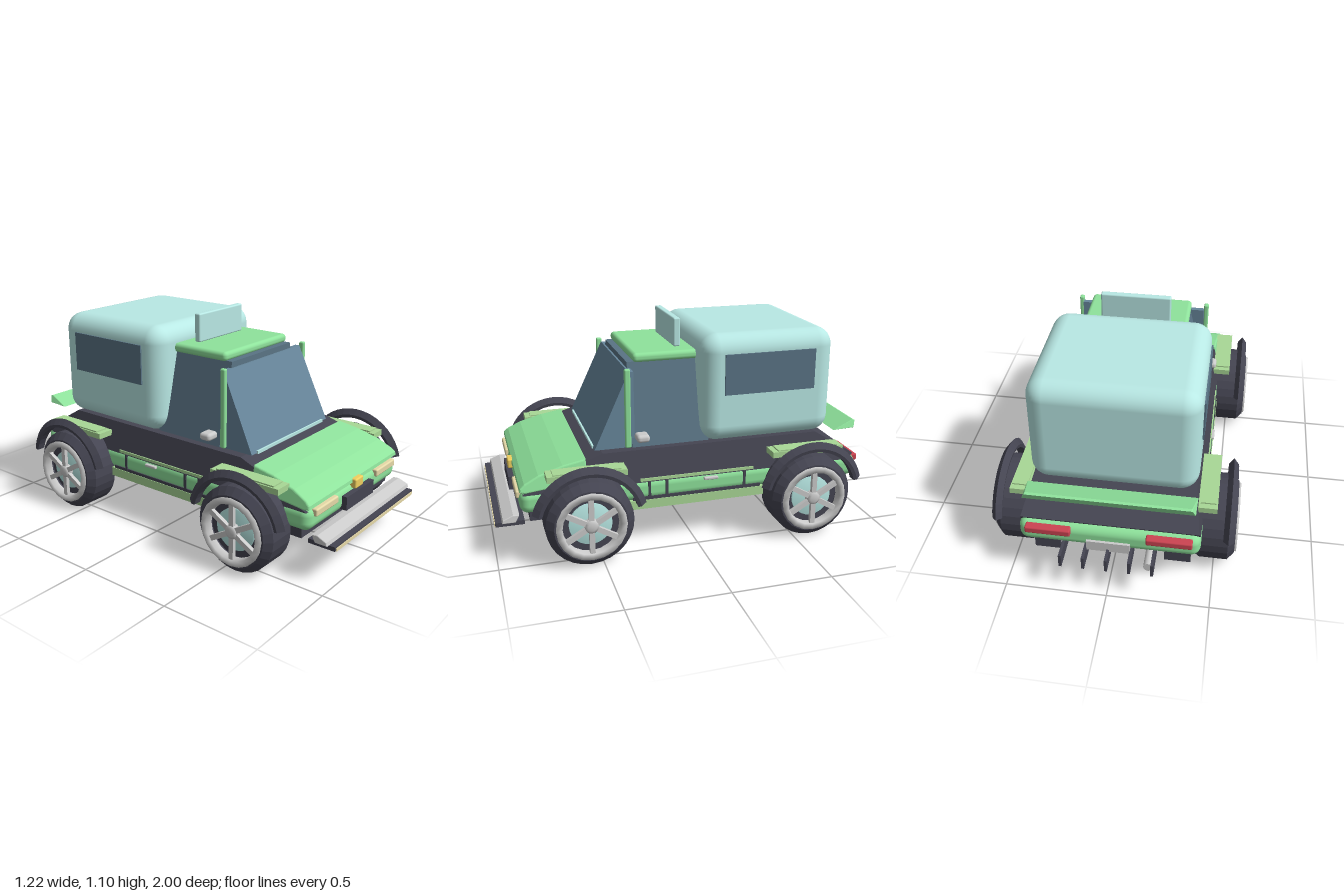
import * as THREE from 'three';
import { RoundedBoxGeometry } from 'three/addons/geometries/RoundedBoxGeometry.js';

const mat = (color, flatShading = false) => new THREE.MeshStandardMaterial({ color, flatShading });
const M = {
  dark: mat(0x454552, true), green: mat(0x8fe39c), pale: mat(0xa9d896, true), aqua: mat(0xb9e9e5),
  glass: mat(0x67869b, true), side: mat(0x5a7485, true), chrome: mat(0xcccccc), red: mat(0xcc4452),
  cream: mat(0xe6d9a8), yellow: mat(0xf0d060),
};

export function createModel() {
  const car = new THREE.Group();
  car.name = 'camperTruck';

  const add = (name, geo, material, parent = car) => {
    const mesh = new THREE.Mesh(geo, material);
    mesh.name = name;
    parent.add(mesh);
    return mesh;
  };
  // Box given by its min and max on each axis; r rounds the edges
  const box = (name, material, [x0, x1], [y0, y1], [z0, z1], r = 0) => {
    const s = [x1 - x0, y1 - y0, z1 - z0];
    const geo = r ? new RoundedBoxGeometry(...s, 4, r) : new THREE.BoxGeometry(...s);
    geo.translate((x0 + x1) / 2, (y0 + y1) / 2, (z0 + z1) / 2);
    return add(name, geo, material);
  };
  // The same box on both sides of the car
  const pair = (name, material, [x0, x1], y, z, r) => {
    box(name + 'Left', material, [x0, x1], y, z, r);
    box(name + 'Right', material, [-x1, -x0], y, z, r);
  };
  // Side profile of [z, y] points extruded across the car; half width runs from w0 at y0 to w1 at y1
  const prism = (name, material, pts, [y0, w0], [y1, w1], bevel = 0) => {
    const shape = new THREE.Shape(pts.map(([z, y]) => new THREE.Vector2(z, y)));
    const geo = new THREE.ExtrudeGeometry(shape, {
      depth: 2 - 2 * bevel / w0, bevelEnabled: bevel > 0, bevelSize: bevel, bevelOffset: -bevel,
      bevelThickness: bevel / w0, bevelSegments: 3,
    });
    geo.translate(0, 0, -1 + bevel / w0).rotateY(-Math.PI / 2);
    const p = geo.attributes.position;
    for (let i = 0; i < p.count; i++) {
      const t = (p.getY(i) - y0) / (y1 - y0);
      p.setX(i, p.getX(i) * (w0 + (w1 - w0) * t));
    }
    geo.computeVertexNormals();
    return add(name, geo, material);
  };

  // Lower body
  box('floor', M.dark, [-0.42, 0.42], [0.2, 0.36], [-0.85, 0.83]);
  box('bodyBand', M.green, [-0.437, 0.437], [0.237, 0.358], [-0.915, 0.875], 0.045);
  prism('upperBody', M.dark,
    [[0.86, 0.34], [0.55, 0.47], [0.46, 0.5], [-0.68, 0.5], [-0.89, 0.37], [-0.87, 0.34]],
    [0.34, 0.435], [0.5, 0.395]);
  pair('rocker', M.pale, [0.41, 0.442], [0.2, 0.247], [-0.4, 0.36]);
  pair('beltTrim', M.pale, [0.41, 0.436], [0.345, 0.36], [-0.32, 0.28]);
  pair('lowerGap', M.dark, [0.41, 0.439], [0.247, 0.263], [-0.36, 0.32]);
  for (const z of [0.235, 0.145, -0.27])
    pair('doorSeam', M.dark, [0.42, 0.441], [0.25, 0.345], [z - 0.007, z + 0.007]);
  pair('doorHandle', M.chrome, [0.43, 0.45], [0.318, 0.333], [-0.125, -0.05], 0.005);

  // Hood
  prism('hood', M.green,
    [[0.545, 0.485], [0.545, 0.38], [0.85, 0.35], [0.875, 0.358], [0.872, 0.375], [0.85, 0.395], [0.78, 0.43], [0.66, 0.465]],
    [0.35, 0.437], [0.485, 0.405], 0.008);

  // Cabin, windscreen and roof
  prism('cabin', M.side, [[0.3, 0.5], [0.3, 0.915], [-0.1, 0.915], [-0.1, 0.5]], [0.5, 0.355], [0.915, 0.255]);
  prism('windscreen', M.glass, [[0.49, 0.5], [0.31, 0.885], [0.285, 0.885], [0.285, 0.5]], [0.5, 0.345], [0.885, 0.335]);
  box('cowl', M.aqua, [-0.3, 0.3], [0.495, 0.51], [0.47, 0.495]);
  pair('pillar', M.green, [0.335, 0.36], [0.5, 0.905], [0.305, 0.335], 0.008);
  box('roof', M.green, [-0.27, 0.27], [0.91, 0.957], [-0.1, 0.27], 0.02);
  box('roofSign', M.aqua, [-0.18, 0.18], [0.957, 1.105], [0, 0.035], 0.008);
  pair('mirror', M.chrome, [0.35, 0.425], [0.543, 0.582], [0.225, 0.29], 0.016);

  // Camper shell
  box('camper', M.aqua, [-0.405, 0.405], [0.49, 1.05], [-0.767, -0.055], 0.09);
  pair('camperWindow', M.side, [0.39, 0.413], [0.747, 0.955], [-0.65, -0.165]);

  // Front details
  pair('headlight', M.cream, [0.192, 0.39], [0.312, 0.35], [0.85, 0.89], 0.008);
  box('frontPlate', M.dark, [-0.135, 0.135], [0.252, 0.322], [0.86, 0.902]);
  box('plateTrim', M.chrome, [-0.11, 0.11], [0.24, 0.252], [0.86, 0.89]);
  box('badge', M.yellow, [-0.038, 0.038], [0.328, 0.378], [0.85, 0.895], 0.008);
  prism('frontBumper', M.chrome,
    [[0.965, 0.2], [0.96, 0.217], [0.91, 0.238], [0.88, 0.235], [0.9, 0.2]], [0.2, 0.42], [0.24, 0.415], 0.004);
  box('splitter', M.dark, [-0.4, 0.4], [0.178, 0.2], [0.855, 0.996]);
  box('splitterEdge', M.cream, [-0.39, 0.39], [0.176, 0.192], [0.99, 1]);

  // Rear details
  pair('tailLight', M.red, [0.18, 0.4], [0.312, 0.348], [-0.936, -0.89], 0.008);
  box('rearPlate', M.chrome, [-0.105, 0.105], [0.235, 0.29], [-0.928, -0.9]);
  prism('spoiler', M.green,
    [[-0.78, 0.502], [-0.9, 0.505], [-0.912, 0.54], [-0.9, 0.545]], [0.5, 0.41], [0.545, 0.39], 0.003);
  for (const x of [-0.22, -0.11, 0, 0.11, 0.22])
    box('diffuserFin', M.dark, [x - 0.007, x + 0.007], [0.178, 0.248], [-1, -0.84]);
  const pipe = add('exhaust', new THREE.CylinderGeometry(0.023, 0.023, 0.14, 16), M.chrome);
  pipe.rotation.x = Math.PI / 2;
  pipe.position.set(-0.2, 0.215, -0.91);
  pair('mudFlap', M.dark, [0.26, 0.39], [0.1, 0.22], [-0.818, -0.803]);

  // Wheel facing +x
  const turned = (pts, n, from = 0, arc = Math.PI * 2) => new THREE.LatheGeometry(
    pts.map(([r, x]) => new THREE.Vector2(r, x)), n, from, arc).rotateZ(-Math.PI / 2);
  const makeWheel = () => {
    const wheel = new THREE.Group();
    wheel.name = 'wheel';
    add('tire', turned([[0, -0.07], [0.12, -0.09], [0.175, -0.108], [0.215, -0.07], [0.215, 0.07],
      [0.18, 0.103], [0.155, 0.103], [0.145, 0.06], [0, 0.06]], 28), M.dark, wheel);
    add('brakeDisc', turned([[0.105, 0.05], [0.105, 0.075], [0, 0.075]], 24), M.aqua, wheel);
    add('rim', turned([[0.172, 0.09], [0.172, 0.113], [0.142, 0.113], [0.138, 0.075]], 20), M.chrome, wheel);
    add('hub', turned([[0.035, 0.06], [0.035, 0.105], [0.02, 0.113], [0, 0.113]], 16), M.chrome, wheel);
    for (let i = 0; i < 6; i++) {
      const spoke = new THREE.BoxGeometry(0.02, 0.13, 0.026).translate(0.096, 0.085, 0).rotateX(i * Math.PI / 3);
      add('spoke', spoke, M.chrome, wheel);
    }
    return wheel;
  };

  // Wheels, arch flares and fender plates at each corner
  const ring = [[0.238, -0.022], [0.255, -0.025], [0.285, 0], [0.255, 0.025], [0.238, 0.022], [0.238, -0.022]];
  const flareMat = mat(0x454552, true);
  flareMat.side = THREE.DoubleSide;
  for (const z of [0.56, -0.59]) {
    for (const s of [1, -1]) {
      const wheel = makeWheel();
      wheel.position.set(s * 0.495, 0.217, z);
      if (s < 0) wheel.rotation.y = Math.PI;
      car.add(wheel);
      const flare = add('archFlare', turned(ring, 18, Math.PI + 0.25, Math.PI - 0.5), flareMat);
      flare.position.set(s * 0.565, 0.225, z);
    }
    pair('fenderPlate', M.pale, [0.41, 0.502], [0.42, 0.45], [z - 0.2, z + 0.19]);
    pair('fenderPlateTop', M.pale, [0.42, 0.495], [0.44, 0.457], [z - 0.17, z + 0.16]);
  }
  return car;
}
